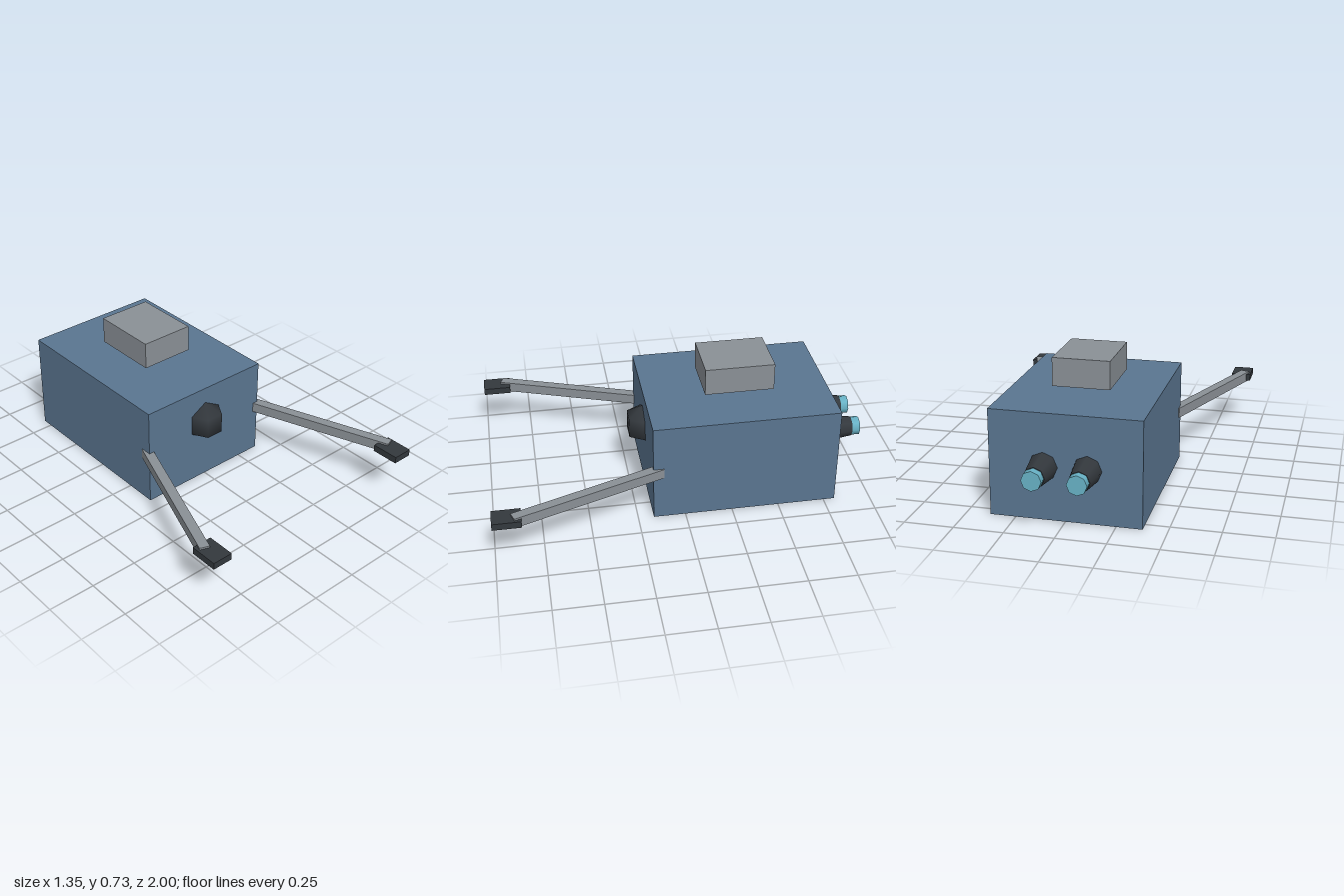
import * as THREE from 'three';

const paint = (name, color) => {
  const m = new THREE.MeshStandardMaterial({ color });
  m.name = name;
  return m;
};

export function createModel() {
  const hullBlue = paint('hull blue', 0x5a7590);
  const metalGrey = paint('metal grey', 0x8a9096);
  const darkGrey = paint('dark grey', 0x33383d);
  const glowCyan = paint('glow cyan', 0x68b2c6);
  const model = new THREE.Group();

  const add = (name, geometry, material, x, y, z) => {
    const mesh = new THREE.Mesh(geometry, material);
    mesh.name = name;
    mesh.position.set(x, y, z);
    model.add(mesh);
    return mesh;
  };

  // Main hull and the block hovering above it
  add('hull', new THREE.BoxGeometry(0.758, 0.544, 0.978), hullBlue, 0, 0.272, -0.321);
  add('roofBlock', new THREE.BoxGeometry(0.294, 0.146, 0.366), metalGrey, 0, 0.653, -0.324);

  // Low-poly sensor dome half sunk in the front face
  add('sensorDome', new THREE.SphereGeometry(0.109, 6, 3), darkGrey, 0, 0.348, 0.157 + 0.008);

  for (const [side, s] of [['left', 1], ['right', -1]]) {
    // Splayed arm and its gripper pad
    const arm = add(side + 'Arm', new THREE.BoxGeometry(0.051, 0.054, 0.827), metalGrey, s * 0.5, 0.275, 0.508);
    arm.rotation.y = s * THREE.MathUtils.degToRad(20);
    add(side + 'Gripper', new THREE.BoxGeometry(0.108, 0.036, 0.146), darkGrey, s * 0.623, 0.274, 0.927);

    // Tapered thruster with a glowing tip, pointing backwards
    const nozzle = new THREE.CylinderGeometry(0.073, 0.053, 0.15, 8).rotateX(Math.PI / 2);
    add(side + 'Thruster', nozzle, darkGrey, s * 0.109, 0.274, -0.882);
    const tip = new THREE.CylinderGeometry(0.05, 0.05, 0.05, 8).rotateX(Math.PI / 2);
    add(side + 'ThrusterGlow', tip, glowCyan, s * 0.109, 0.274, -0.975);
  }

  return model;
}
